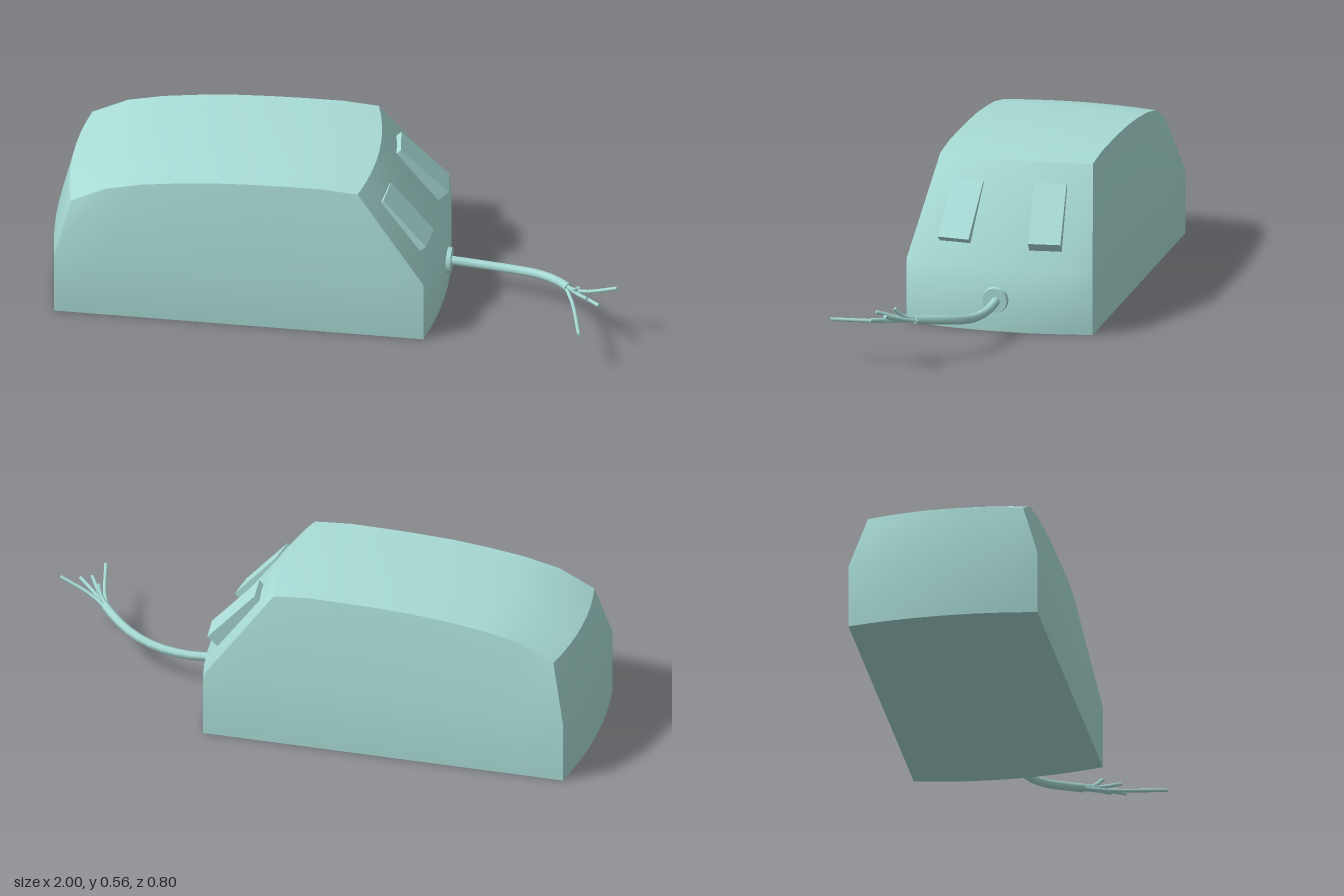
import * as THREE from 'three';

const material = new THREE.MeshStandardMaterial({ color: 0xa9dcd6 });
const lerp = THREE.MathUtils.lerp;

// Body sections at three levels: bottom, shoulder, top edge
const REAR = [-0.97, -0.97, -0.92];
const FRONT = [0.33, 0.33, 0.09];
const HALF = [0.335, 0.335, 0.275];
const TOP = [0.43, 0.493, 0.521, 0.538, 0.55, 0.556, 0.559, 0.56, 0.55];
const MID_Z = -0.063;

// Point of the shell: s = rear to front, level = 0..2, t = across (-1..1)
function shell(s, level, t) {
  const i = Math.min(1, Math.floor(level)), f = level - i;
  const at = (a) => lerp(a[i], a[i + 1], f);
  const k = Math.min(7, Math.floor(s * 8));
  const top = lerp(TOP[k], TOP[k + 1], s * 8 - k);
  const y = i === 0 ? 0.23 * f : lerp(0.23, top, f);
  const bow = 1 - t * t;
  return [
    lerp(at(REAR), at(FRONT), s) + lerp(-0.03, 0.04, s) * bow,
    y + (level === 2 ? 0.004 * bow : 0),
    MID_Z + t * at(HALF),
  ];
}

// Smooth patch over (u, v); it faces du x dv
function patch(name, nu, nv, fn) {
  const geo = new THREE.PlaneGeometry(1, 1, nu, nv);
  const p = geo.attributes.position;
  for (let i = 0; i < p.count; i++) {
    p.setXYZ(i, ...fn(p.getX(i) + 0.5, p.getY(i) + 0.5));
  }
  geo.computeVertexNormals();
  return named(name, geo);
}

function named(name, geo) {
  const mesh = new THREE.Mesh(geo, material);
  mesh.name = name;
  return mesh;
}

// Tube along a few points, with closed ends
function strand(name, points, radius, sides, steps) {
  const group = new THREE.Group();
  group.name = name;
  const curve = new THREE.CatmullRomCurve3(points.map((p) => new THREE.Vector3(...p)));
  group.add(named(name + 'Tube', new THREE.TubeGeometry(curve, steps, radius, sides)));
  for (const end of [0, 1]) {
    const cap = named(name + 'Cap', new THREE.CircleGeometry(radius, sides));
    const dir = curve.getTangent(end).multiplyScalar(end ? 1 : -1);
    cap.position.copy(curve.getPoint(end));
    cap.quaternion.setFromUnitVectors(new THREE.Vector3(0, 0, 1), dir);
    group.add(cap);
  }
  return group;
}

// Button whose outer face runs from the upper to the lower [x, y] point
function button(name, upper, lower, z, width, yaw) {
  const dx = lower[0] - upper[0], dy = lower[1] - upper[1];
  const length = Math.hypot(dx, dy), thick = 0.06;
  const geo = new THREE.BoxGeometry(thick, length, width);
  geo.translate(-thick / 2, 0, 0);
  geo.rotateZ(Math.atan2(dx, -dy));
  geo.rotateY(yaw);
  const mesh = named(name, geo);
  mesh.position.set((upper[0] + lower[0]) / 2, (upper[1] + lower[1]) / 2, z);
  return mesh;
}

export function createModel() {
  const model = new THREE.Group();
  model.name = 'computerMouse';

  // Housing
  const body = new THREE.Group();
  body.name = 'body';
  body.add(
    patch('topPanel', 8, 8, (u, v) => shell(u, 2, 1 - 2 * v)),
    patch('basePanel', 8, 8, (u, v) => shell(u, 0, 2 * v - 1)),
    patch('frontPanel', 8, 2, (u, v) => shell(1, 2 * v, 1 - 2 * u)),
    patch('rearPanel', 8, 2, (u, v) => shell(0, 2 * v, 2 * u - 1)),
    patch('leftPanel', 8, 2, (u, v) => shell(u, 2 * v, 1)),
    patch('rightPanel', 8, 2, (u, v) => shell(1 - u, 2 * v, -1)),
  );
  model.add(body);

  // Two buttons on the sloping nose, one standing slightly further out
  model.add(
    button('leftButton', [0.177, 0.487], [0.33, 0.315], 0.097, 0.114, -0.1),
    button('rightButton', [0.185, 0.498], [0.352, 0.322], -0.219, 0.114, 0.12),
  );

  // Cable collar
  const collar = named('cableCollar', new THREE.CylinderGeometry(0.045, 0.052, 0.04, 12));
  collar.rotation.z = -Math.PI / 2;
  collar.position.set(0.365, 0.115, -0.058);
  model.add(collar);

  // Cable and its frayed wires
  model.add(strand('cable', [
    [0.36, 0.115, -0.062], [0.48, 0.107, -0.06], [0.6, 0.112, -0.038],
    [0.7, 0.13, 0.005], [0.77, 0.147, 0.06], [0.82, 0.158, 0.115],
  ], 0.016, 7, 10));
  const wires = [
    [[0.88, 0.172, 0.152], [1, 0.215, 0.178]],
    [[0.87, 0.168, 0.17], [0.945, 0.182, 0.245]],
    [[0.845, 0.153, 0.2], [0.895, 0.16, 0.4]],
    [[0.845, 0.175, 0.15], [0.862, 0.205, 0.178]],
    [[0.85, 0.17, 0.16], [0.9, 0.2, 0.235]],
  ];
  wires.forEach((ends, i) => {
    const start = [0.805, 0.155 + 0.003 * (i - 2), 0.1];
    model.add(strand('wire' + (i + 1), [start, ...ends], 0.007, 6, 6));
  });

  return model;
}
